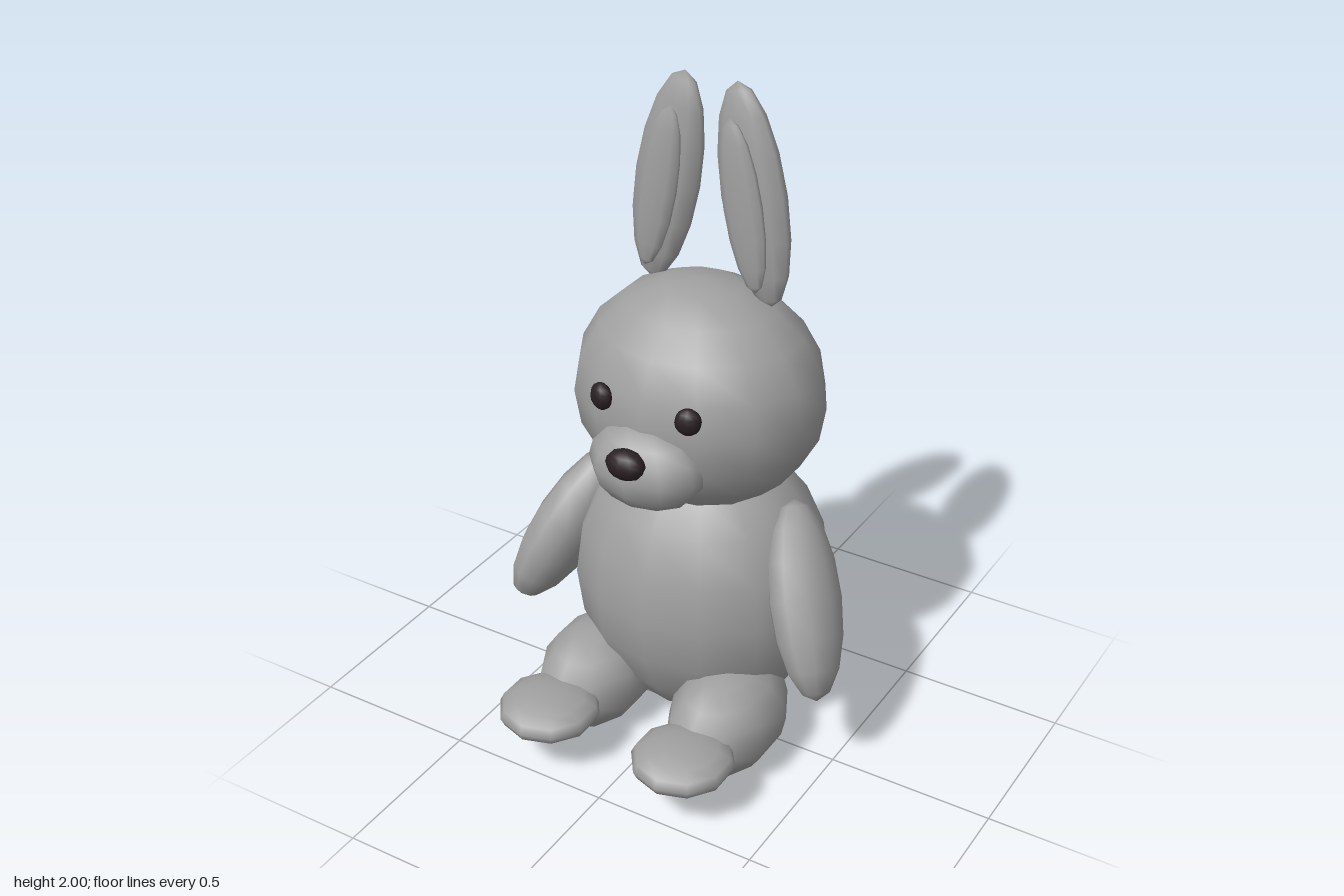
import * as THREE from 'three';

const named = (name, color) => {
  const m = new THREE.MeshStandardMaterial({ color });
  m.name = name;
  return m;
};

export function createModel() {
  const model = new THREE.Group();
  model.name = 'sittingRabbit';
  const plush = named('grey plush', 0xa0a0a0);
  const dark = named('dark brown', 0x2a2022);

  // Spheres with a column of vertices facing +z
  const large = new THREE.SphereGeometry(1, 14, 10, Math.PI / 2);
  const small = new THREE.SphereGeometry(1, 10, 8, Math.PI / 2);

  const blob = (name, geometry, material, position, radii, rotation = [0, 0, 0]) => {
    const mesh = new THREE.Mesh(geometry, material);
    mesh.name = name;
    mesh.position.set(...position);
    mesh.scale.set(...radii);
    mesh.rotation.set(...rotation);
    model.add(mesh);
  };

  // Centre parts
  blob('body', large, plush, [0, 0.47, -0.085], [0.395, 0.46, 0.345]);
  blob('head', large, plush, [0, 1.093, -0.065], [0.374, 0.342, 0.323]);
  blob('muzzle', small, plush, [0, 0.985, 0.213], [0.177, 0.128, 0.132]);
  blob('nose', small, dark, [0, 1.04, 0.327], [0.06, 0.045, 0.041]);
  blob('tail', small, plush, [0, 0.28, -0.432], [0.133, 0.132, 0.132]);

  // Paired parts: left is +x
  for (const [side, s] of [['left', 1], ['right', -1]]) {
    const lean = s * 0.175;
    blob(side + 'Ear', small, plush, [s * 0.135, 1.685, -0.117], [0.1, 0.32, 0.045], [0, 0, lean]);
    blob(side + 'InnerEar', small, plush, [s * 0.133, 1.675, -0.059], [0.06, 0.245, 0.023], [0, 0, lean]);
    blob(side + 'Eye', small, dark, [s * 0.138, 1.165, 0.23], [0.038, 0.04, 0.026], [0, s * 0.35, 0]);
    blob(side + 'Arm', small, plush, [s * 0.4, 0.556, 0.02], [0.1, 0.288, 0.135], [-0.47, 0, s * 0.39]);
    blob(side + 'Leg', small, plush, [s * 0.225, 0.16, 0.15], [0.163, 0.159, 0.235]);
    blob(side + 'Foot', small, plush, [s * 0.228, 0.178, 0.408], [0.151, 0.063, 0.152]);
  }
  return model;
}
